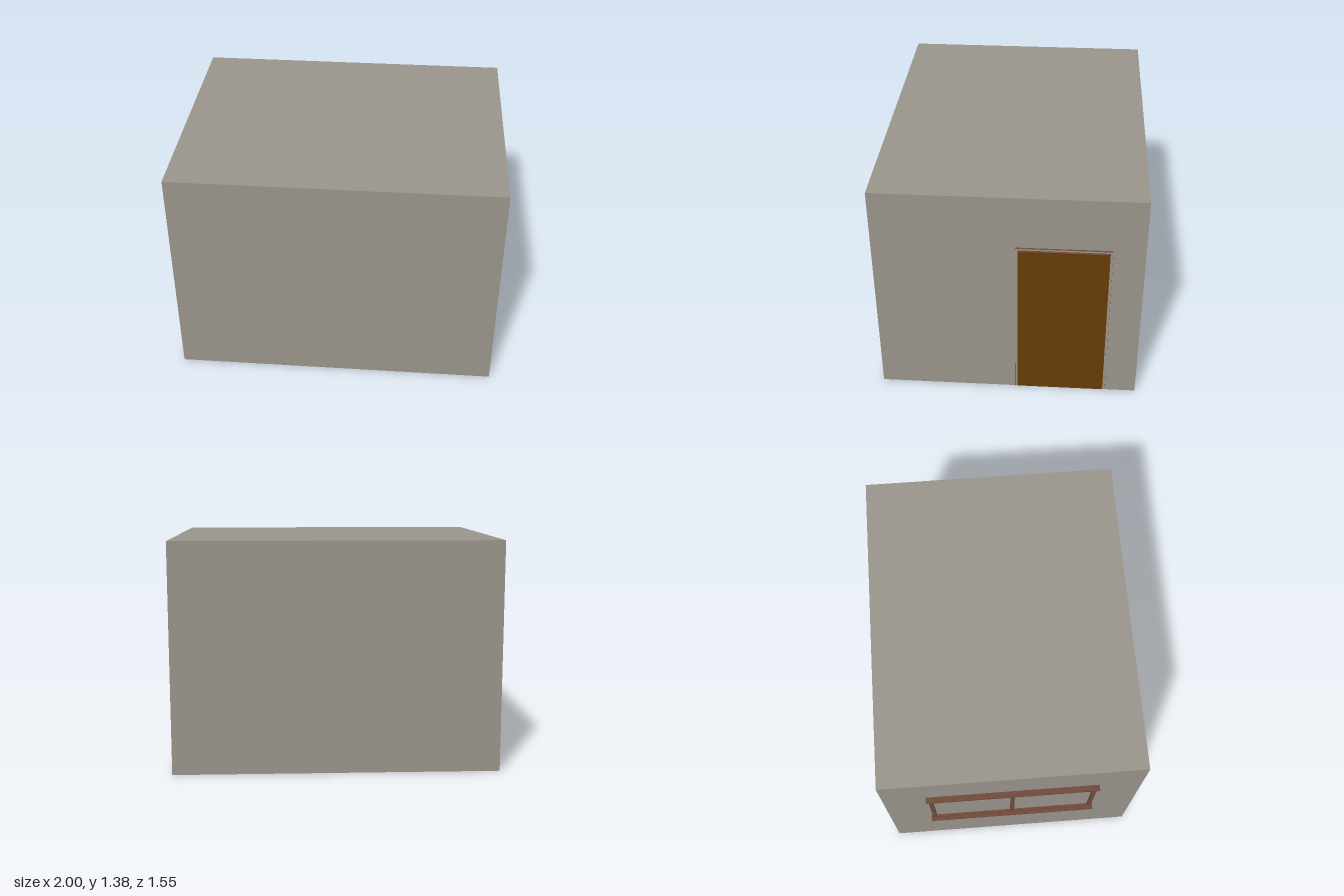
import * as THREE from 'three';

const material = (name, color, side = THREE.FrontSide) => {
  const m = new THREE.MeshStandardMaterial({ color, side });
  m.name = name;
  return m;
};

export function createModel() {
  const model = new THREE.Group();
  model.name = 'room';
  const plaster = material('grey plaster', 0x99948b);
  const floorWood = material('floor wood', 0xbb9a6e);
  const doorWood = material('door wood', 0x673b07);
  const trimWood = material('trim wood', 0x704a39, THREE.DoubleSide);

  // Box given by its minimum and maximum on each axis
  const box = (parent, name, mat, [x0, x1], [y0, y1], [z0, z1]) => {
    const mesh = new THREE.Mesh(new THREE.BoxGeometry(x1 - x0, y1 - y0, z1 - z0), mat);
    mesh.position.set((x0 + x1) / 2, (y0 + y1) / 2, (z0 + z1) / 2);
    mesh.name = name;
    parent.add(mesh);
  };
  const left = 0.988, right = -0.965, depth = 0.775;

  // Shell, with the floor as its underside
  const shell = [plaster, plaster, plaster, floorWood, plaster, plaster];
  box(model, 'wallsAndFloor', shell, [right, left], [0, 1.38], [-depth, depth]);

  // Door with a thin open casing: an inner and an outer lining
  const door = new THREE.Group();
  door.name = 'door';
  model.add(door);
  box(door, 'doorPanel', doorWood, [left - 0.002, left + 0.002], [0, 1.033], [-0.577, -0.058]);
  const casing = 0.012;
  for (const [name, z0, z1, top] of [['inner', -0.577, -0.058, 1.033], ['outer', -0.592, -0.043, 1.052]]) {
    for (const z of [z0, z1]) {
      const jamb = new THREE.Mesh(new THREE.PlaneGeometry(casing, top), trimWood);
      jamb.position.set(left + casing / 2, top / 2, z);
      jamb.name = name + 'Jamb';
      door.add(jamb);
    }
    const head = new THREE.Mesh(new THREE.PlaneGeometry(casing, z1 - z0).rotateX(-Math.PI / 2), trimWood);
    head.position.set(left + casing / 2, top, (z0 + z1) / 2);
    head.name = name + 'Head';
    door.add(head);
  }

  // Window: projecting ledges, inner rails and three uprights
  const win = new THREE.Group();
  win.name = 'window';
  model.add(win);
  for (const [name, y] of [['sill', 0.532], ['lintel', 1.066]])
    box(win, name, trimWood, [-1, right], [y, y + 0.015], [-0.517, 0.517]);
  for (const [name, y] of [['bottomRail', 0.547], ['topRail', 1.05]])
    box(win, name, trimWood, [right - 0.015, right], [y, y + 0.016], [-0.48, 0.48]);
  for (const z of [-0.493, 0, 0.493])
    box(win, 'upright', trimWood, [right - 0.016, right], [0.547, 1.066], [z - 0.0125, z + 0.0125]);

  return model;
}
